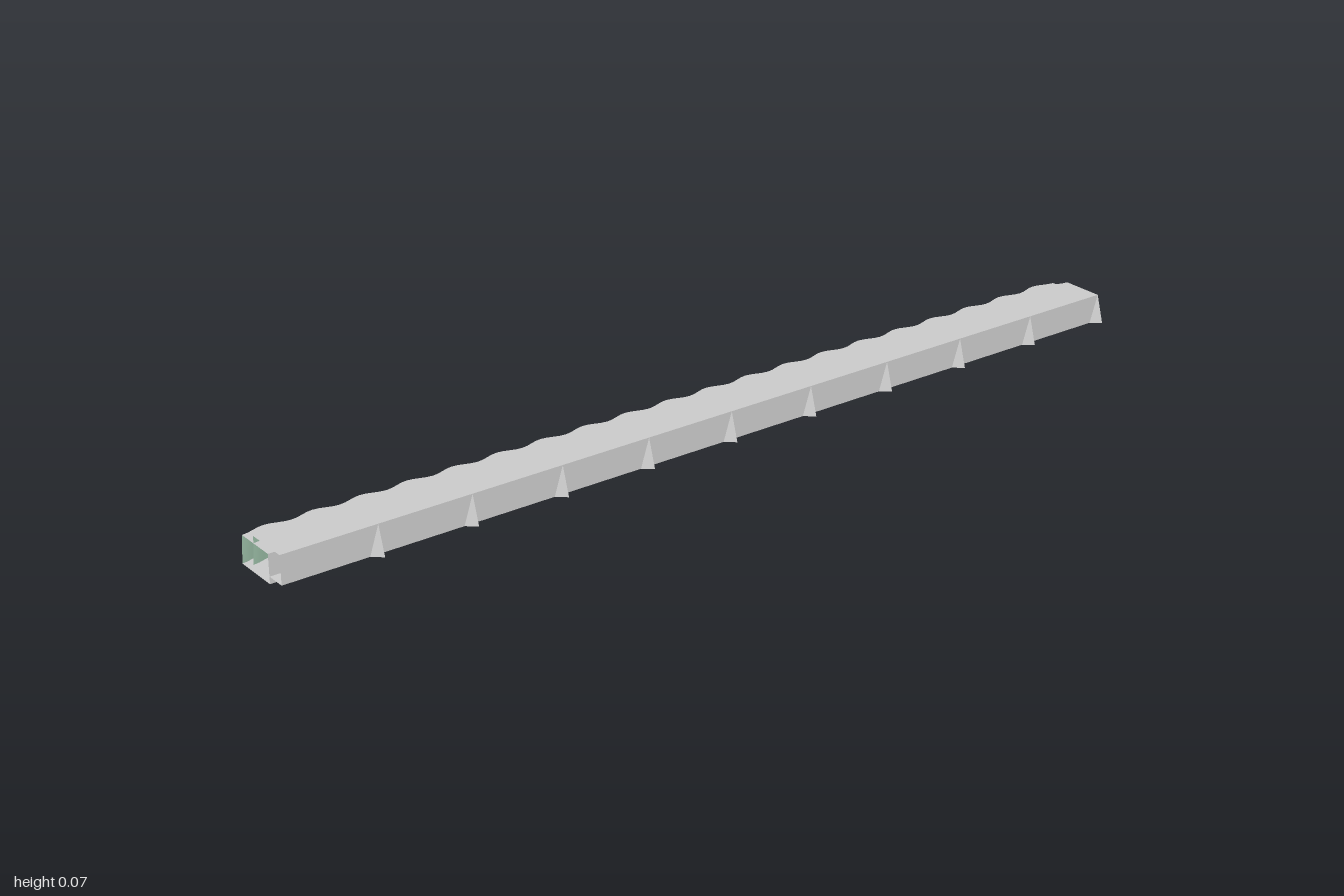
import * as THREE from 'three';

const LEN = 2, STEPS = 160, PITCH = 0.2;
const H = 0.06, TOP_X = 0.025, FLARE = 0.018;
const grey = new THREE.MeshStandardMaterial({ color: 0xcccccc, side: THREE.DoubleSide });
const greyFront = new THREE.MeshStandardMaterial({ color: 0xcccccc });
const green = new THREE.MeshStandardMaterial({ color: 0xa8cdb4, side: THREE.DoubleSide });

// wavy edge of the board; the wall leans outwards towards its foot
const waveX = (z, y) => -0.081 + 0.007 * (y / H) + 0.006 * Math.cos(z * Math.PI * 20);

function mesh(name, points, index, material) {
  const g = new THREE.BufferGeometry();
  g.setAttribute('position', new THREE.Float32BufferAttribute(points.flat(), 3));
  g.setIndex(index);
  g.computeVertexNormals();
  const m = new THREE.Mesh(g, material);
  m.name = name;
  return m;
}

// ruled strip along z between two edges
function strip(name, edgeA, edgeB, material) {
  const points = [], index = [];
  for (let i = 0; i <= STEPS; i++) {
    const z = -LEN / 2 + (LEN * i) / STEPS;
    points.push([...edgeA(z), z], [...edgeB(z), z]);
    if (i < STEPS) {
      const k = i * 2;
      index.push(k, k + 2, k + 1, k + 1, k + 2, k + 3);
    }
  }
  return mesh(name, points, index, material);
}

function board(name) {
  const g = new THREE.Group();
  g.name = name;
  const waveTop = z => [waveX(z, H), H], waveFoot = z => [waveX(z, 0), 0];
  const edgeTop = () => [TOP_X, H], edgeFoot = () => [TOP_X, 0];
  g.add(
    strip('topFace', waveTop, edgeTop, grey),
    strip('straightWall', edgeTop, edgeFoot, grey),
    strip('underside', edgeFoot, waveFoot, grey),
    strip('wavyWall', waveFoot, waveTop, green)
  );

  // closing panel at the back, seen along the hollow
  const z = -LEN / 2;
  g.add(mesh('backPanel', [[waveX(z, 0), 0, z], [TOP_X, 0, z], [TOP_X, H, z], [waveX(z, H), H, z]],
    [0, 1, 2, 0, 2, 3], greyFront));

  // small flared fins at every joint
  for (let i = 0; i < LEN / PITCH; i++) {
    const z0 = z + i * PITCH;
    const top = [TOP_X, H, z0], tip = [TOP_X + FLARE, 0, z0];
    const foot = [TOP_X, 0, z0], tail = [TOP_X, 0, z0 + 0.02];
    g.add(mesh('finSlope', [top, tail, tip], [0, 1, 2], grey));
    g.add(mesh('finUnderside', [foot, tip, tail], [0, 1, 2], grey));
    g.add(mesh('finStep', [top, tip, foot], [0, 1, 2], green));
  }
  return g;
}

export function createModel() {
  const model = new THREE.Group();
  model.name = 'overlappingBoards';
  const lower = board('lowerBoard');
  const upper = board('upperBoard');
  upper.position.set(0.043, 0.015, 0);
  model.add(lower, upper);
  return model;
}
